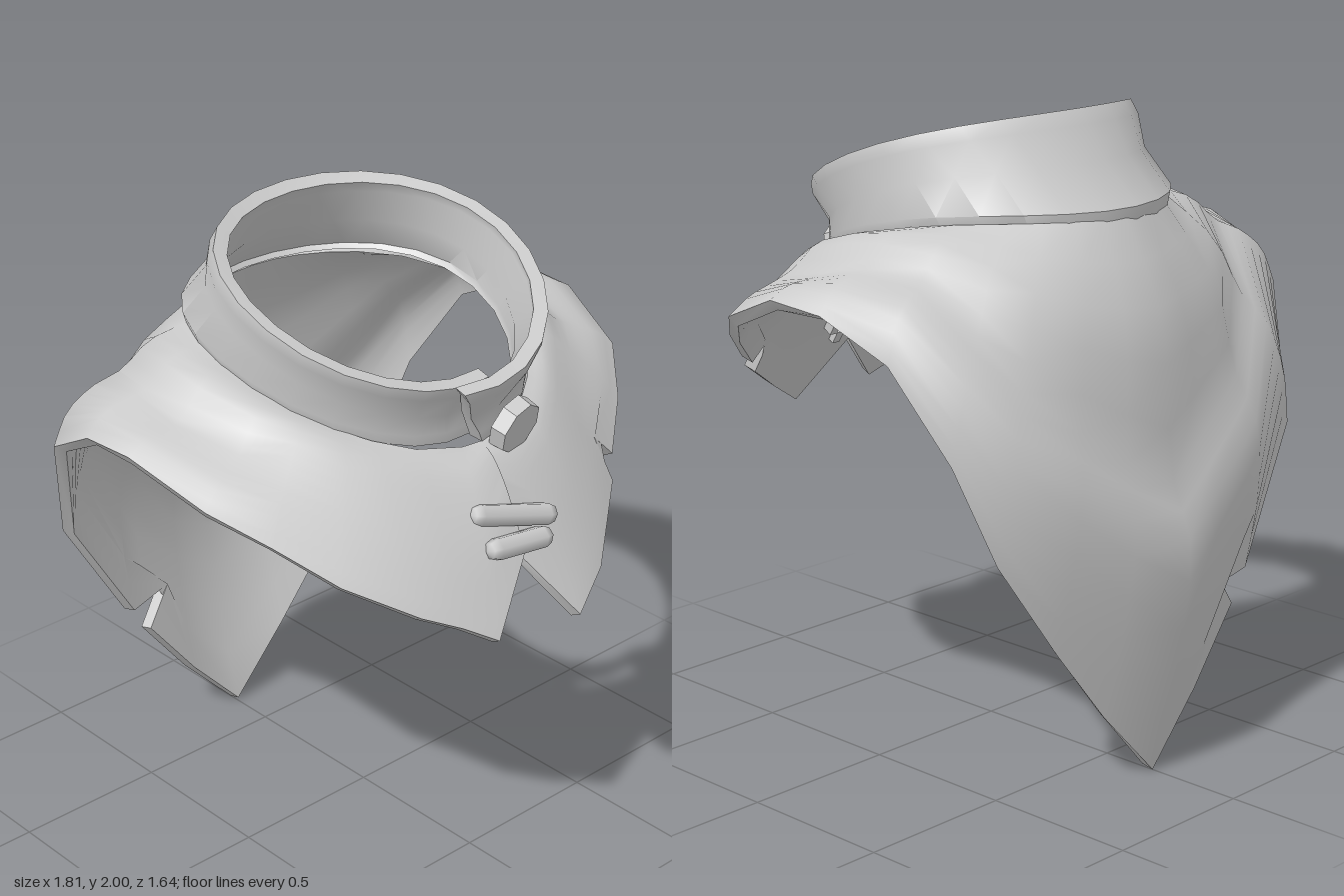
import * as THREE from 'three';
import { toCreasedNormals } from 'three/addons/utils/BufferGeometryUtils.js';

const V = (x, y, z) => new THREE.Vector3(x, y, z);
const rad = THREE.MathUtils.degToRad;
const material = new THREE.MeshStandardMaterial({ color: 0xcccccc, side: THREE.DoubleSide });

function addMesh(parent, name, geometry) {
  const mesh = new THREE.Mesh(geometry, material);
  mesh.name = name;
  parent.add(mesh);
  return mesh;
}

// Thick cloth from columns of points; a notch { col, tip } leaves out one triangle at the hem.
function cloth(columns, thickness, notches = []) {
  const rows = columns[0].length;
  const points = columns.flat();
  const index = [];
  for (let i = 0; i < columns.length - 1; i++) {
    for (let j = 0; j < rows - 1; j++) {
      const a = i * rows + j, b = a + rows, d = b + 1, e = a + 1;
      const notch = j === rows - 2 && notches.find(n => n.col === i);
      if (notch && notch.tip === 'first') index.push(a, d, b);
      else if (notch) index.push(a, e, b);
      else index.push(a, e, b, b, e, d);
    }
  }
  const sheet = new THREE.BufferGeometry().setFromPoints(points);
  sheet.setIndex(index);
  sheet.computeVertexNormals();
  const normal = sheet.attributes.normal, count = points.length;
  const inner = points.map((p, k) =>
    p.clone().addScaledVector(V(0, 0, 0).fromBufferAttribute(normal, k), -thickness));

  // lining and rim along every open edge
  const all = index.slice(), edges = new Set();
  for (let k = 0; k < index.length; k += 3) {
    const t = index.slice(k, k + 3);
    all.push(t[0] + count, t[2] + count, t[1] + count);
    t.forEach((p, m) => edges.add(p + '_' + t[(m + 1) % 3]));
  }
  for (const key of edges) {
    const [p, q] = key.split('_').map(Number);
    if (!edges.has(q + '_' + p)) all.push(p, p + count, q, q, p + count, q + count);
  }
  const shell = new THREE.BufferGeometry().setFromPoints(points.concat(inner));
  shell.setIndex(all);
  return toCreasedNormals(shell, 0.8);
}

// Hem points, from the front opening round to the back tip
const leftHem = [
  [-0.02, 1.14, 0.71], [0.12, 0.94, 0.82], [0.27, 1.02, 0.76], [0.52, 1.15, 0.57], [0.58, 1.2, 0.51],
  [0.72, 1.31, 0.4], [0.84, 1.41, 0.26], [0.905, 1.51, 0], [0.9, 1.495, -0.2], [0.85, 1.38, -0.42],
  [0.76, 1.1, -0.58], [0.65, 0.8, -0.65], [0.42, 0.48, -0.67], [0.22, 0.23, -0.68], [0, 0, -0.685],
];
const rightHem = [
  [-0.01, 1.16, 0.71], [-0.2, 0.97, 0.8], [-0.3, 1.03, 0.75], [-0.42, 1.09, 0.7], [-0.6, 1.2, 0.56],
  [-0.72, 1.31, 0.4], [-0.84, 1.41, 0.26], [-0.905, 1.51, 0], [-0.9, 1.495, -0.2], [-0.85, 1.36, -0.44],
  [-0.71, 0.95, -0.62], [-0.45, 0.54, -0.67], [-0.38, 0.44, -0.675], [-0.2, 0.21, -0.68],
];
const neckAngles = [0, 8, 25, 40, 48, 60, 72, 90, 104, 120, 136, 148, 160, 170, 180];

// Folds at key stations: [fraction from neck to hem, outward, upward]
const folds = [
  { s: 0, p: [[0.2, 0, 0.04], [0.4, 0, 0.055], [0.6, 0, 0.05], [0.8, 0, 0.025]] },
  { s: 5, p: [[0.2, 0, 0.05], [0.4, 0, 0.05], [0.6, 0, 0.04], [0.8, 0, 0.03]] },
  { s: 7, p: [[0.27, 0, 0.04], [0.5, 0, -0.02], [0.65, 0, -0.01], [0.85, 0, 0.01]] },
  { s: 9, p: [[0.25, 0.03, 0.04], [0.45, 0.03, 0.03], [0.6, 0.06, 0.04], [0.8, 0.05, 0.04]] },
  { s: 11, p: [[0.25, 0.12, 0.03], [0.45, 0.13, 0], [0.6, 0.17, 0], [0.8, 0.11, 0]] },
  { s: 14, p: [[0.18, 0.13, 0], [0.44, 0.135, 0], [0.56, 0.195, 0], [0.77, 0.125, 0]] },
];

function capeColumn(hem, s, side) {
  const a = rad(neckAngles[s]), c = Math.cos(a);
  const neck = V(side * 0.5 * Math.sin(a), 1.57 - 0.13 * c + 0.085 * Math.sin(a) ** 2, 0.525 * c - 0.02);
  const end = V(...hem);
  const out = V(end.x, 0, end.z).normalize().multiplyScalar(side > 0 ? 1 : 0.8);
  const k = Math.max(1, folds.findIndex(f => f.s >= s));
  const f0 = folds[k - 1], f1 = folds[k], t = (s - f0.s) / (f1.s - f0.s);
  const mids = f0.p.map((p, m) => {
    const [f, o, u] = p.map((v, n) => THREE.MathUtils.lerp(v, f1.p[m][n], t));
    const q = neck.clone().lerp(end, f).addScaledVector(out, o);
    q.y += u;
    return q;
  });
  return new THREE.CatmullRomCurve3([neck, ...mids, end]).getPoints(12);
}

function makeCape() {
  const columns = [
    ...leftHem.map((h, s) => capeColumn(h, s, 1)),
    ...rightHem.map((h, s) => capeColumn(h, s, -1)).reverse(),
  ];
  // the inner ends of the two hem notches
  columns[4].at(-2).set(0.5, 1.28, 0.505);
  columns[16].at(-2).set(-0.27, 0.545, -0.72);
  return cloth(columns, 0.04, [{ col: 3, tip: 'second' }, { col: 16, tip: 'first' }]);
}

// Standing collar, higher at the back, wrapping over itself at the front
function makeCollar() {
  // rows: y, y slope, side lift, x radius, z radius, z centre, start angle
  const rings = [
    [1.82, 0.18, 0.05, 0.515, 0.47, 0.1, -12],
    [1.78, 0.175, 0.055, 0.52, 0.48, 0.08, -9],
    [1.69, 0.16, 0.065, 0.49, 0.48, 0.035, -4],
    [1.6, 0.125, 0.08, 0.515, 0.535, -0.02, 0],
    [1.56, 0.12, 0.08, 0.5, 0.53, -0.02, 2],
  ];
  const columns = [], n = 26;
  for (let i = 0; i <= n; i++) {
    const t = i / n, shrink = 0.06 * THREE.MathUtils.smoothstep(t, 0.8, 1);
    columns.push(rings.map(([y, slope, lift, rx, rz, cz, start]) => {
      const a = rad(THREE.MathUtils.lerp(start, 365, t)), c = Math.cos(a), s = Math.sin(a);
      return V((rx - shrink) * s - 0.015, y - slope * c + lift * s * s, cz + (rz - shrink) * c);
    }));
  }
  return cloth(columns, 0.045);
}

export function createModel() {
  const model = new THREE.Group();
  model.name = 'collaredCape';
  addMesh(model, 'cape', makeCape());
  addMesh(model, 'collar', makeCollar());

  // Eight-sided collar button
  const disc = new THREE.CylinderGeometry(0.085, 0.09, 0.05, 8);
  const button = addMesh(model, 'collarButton', toCreasedNormals(disc, 0.5));
  button.position.set(0.1, 1.475, 0.545);
  button.quaternion.setFromUnitVectors(V(0, 1, 0), V(0.15, -0.3, 1).normalize());

  // Toggle bars across the front opening, with their stitched ends on the inside
  const bars = [
    [V(-0.155, 1.295, 0.62), V(0.14, 1.22, 0.685)],
    [V(-0.155, 1.205, 0.695), V(0.085, 1.185, 0.72)],
  ];
  for (const [a, b] of bars) {
    const dir = b.clone().sub(a), length = dir.length();
    const bar = addMesh(model, 'toggleBar', new THREE.CapsuleGeometry(0.036, length - 0.072, 2, 6));
    bar.position.copy(a).add(b).multiplyScalar(0.5);
    bar.quaternion.setFromUnitVectors(V(0, 1, 0), dir.normalize());
    for (const t of [0.14, 0.86]) {
      const stitch = addMesh(model, 'toggleStitch', new THREE.BoxGeometry(0.03, 0.045, 0.08));
      stitch.position.copy(a).lerp(b, t).add(V(0, -0.022, -0.038));
      stitch.rotation.x = -0.55;
    }
  }
  return model;
}
